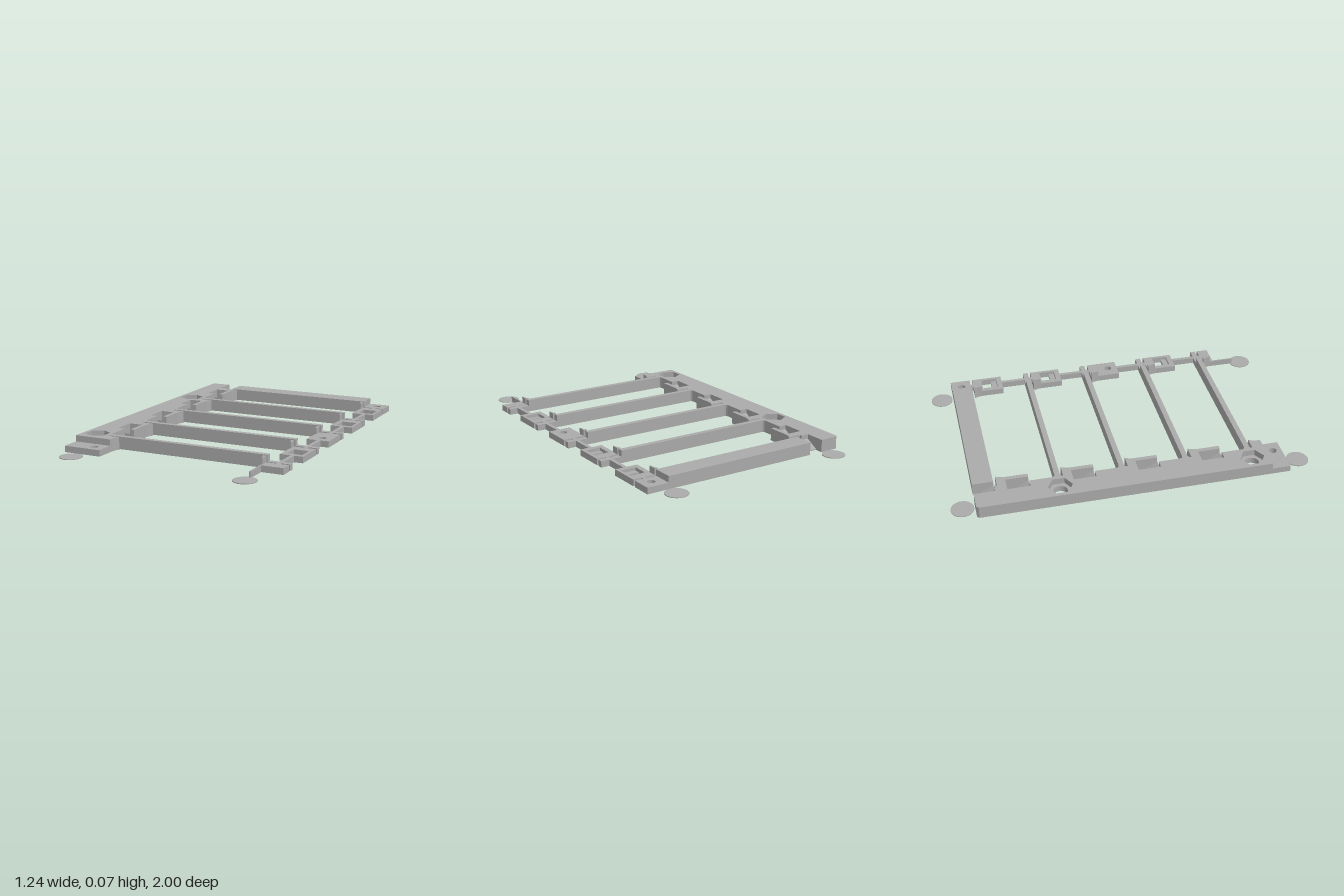
import * as THREE from 'three';

const H = 0.07, HALF = 0.035;
const PADS = [-0.74, -0.38, -0.02, 0.34];   // back edge of each pad
const BARS = [-0.41, -0.053, 0.307, 0.667]; // centre of each thin bar

export function createModel() {
  const group = new THREE.Group();
  const grey = new THREE.MeshStandardMaterial({ color: 0xaaaaaa });
  grey.name = 'grey plastic';

  const add = (name, geometry) => {
    const mesh = new THREE.Mesh(geometry, grey);
    mesh.name = name;
    group.add(mesh);
    return mesh;
  };

  // Flat plate from an [x, z] outline, between heights y0 and y1
  const plate = (name, outline, y0, y1, holes = []) => {
    const shape = new THREE.Shape(outline.map(([x, z]) => new THREE.Vector2(x, z)));
    shape.holes = holes;
    const g = new THREE.ExtrudeGeometry(shape, { depth: y1 - y0, bevelEnabled: false, curveSegments: 20 });
    g.rotateX(Math.PI / 2).translate(0, y1, 0);
    return add(name, g);
  };
  const rect = (x0, x1, z0, z1) => [[x0, z0], [x1, z0], [x1, z1], [x0, z1]];
  const ring = (x, z, r, n = 28) => {
    const pts = [];
    for (let i = 0; i < n; i++) {
      const a = Math.PI / 2 + (i / n) * Math.PI * 2;
      pts.push(new THREE.Vector2(x + r * Math.cos(a), z + r * Math.sin(a)));
    }
    return new THREE.Path(pts);
  };
  const rectHole = (...r) => new THREE.Path(rect(...r).map(([x, z]) => new THREE.Vector2(x, z)));

  // Wedge rising towards the front
  const ramp = (x0, x1, z0, z1) => {
    const s = new THREE.Shape([[-z0, 0], [-z0, 0.006], [-z1, 0.045], [-z1, 0]].map(p => new THREE.Vector2(...p)));
    const g = new THREE.ExtrudeGeometry(s, { depth: x1 - x0, bevelEnabled: false });
    g.rotateY(Math.PI / 2).translate(x0, 0, 0);
    add('clipRamp', g);
  };

  // Flared corner running down the edge of a pad
  const flare = (x, z, w) => [[x - w, z], [x - w * 0.7, z + 0.007], [x - w * 0.3, z + 0.02], [x, z + 0.045]];

  // Side rail with its clip pads
  const rail = [[-0.62, -0.858], [-0.608, -0.87], [-0.505, -0.87], [-0.505, -0.755], [-0.46, -0.755]];
  for (const z of PADS) {
    const end = z + 0.175, s = z + 0.05;
    rail.push([-0.46, z], ...flare(-0.4, z, -0.016), [-0.4, end], [-0.425, end],
      [-0.425, s], [-0.505, s], [-0.505, end], [-0.46, end]);
    ramp(-0.505, -0.425, z + 0.11, end);
  }
  rail.push([-0.46, 0.695], ...flare(-0.4, 0.695, -0.016), [-0.4, 0.76], [-0.62, 0.76]);
  const nuts = [-0.41, 0.667];
  plate('railBase', rail, 0, HALF, nuts.map(z => ring(-0.54, z, 0.039)));
  plate('railTop', rail, HALF, H, nuts.map(z => ring(-0.54, z, 0.068, 6)));
  plate('railEndTab', rect(-0.62, -0.4, 0.76, 0.865), 0, HALF, [ring(-0.467, 0.815, 0.022)]);

  // Thick back bar with its low end tab
  ramp(-0.505, -0.425, -0.825, -0.755);
  plate('backBar', rect(-0.425, 0.49, -0.87, -0.755), 0, H);
  plate('backBarTab', rect(0.49, 0.615, -0.87, -0.755), 0, HALF, [ring(0.555, -0.81, 0.022)]);

  // Thin cross bars, stepped down at the far end
  for (const z of BARS) {
    plate('crossBar', rect(-0.46, 0.49, z - 0.015, z + 0.015), 0, H);
    plate('crossBarTip', rect(0.49, 0.615, z - 0.015, z + 0.015), 0, HALF);
    for (const s of [-1, 1]) {
      const e = z + s * 0.015;
      plate('barFillet', [[-0.46, e], [-0.446, e], [-0.456, e + s * 0.004], [-0.46, e + s * 0.014]], 0, H);
    }
  }

  // Low pads on the far side
  [...PADS, 0.695].forEach((z, i) => {
    const end = i === 4 ? 0.76 : z + 0.175;
    const holes = i === 4 ? [] : i === 2 ? [ring(0.555, 0.098, 0.022)]
      : [rectHole(0.512, 0.598, z + 0.055, z + 0.145)];
    plate('lowPad', rect(0.49, 0.615, z, end), 0, HALF, holes);
    if (holes.length && i !== 2) plate('padLedge', rect(0.512, 0.598, z + 0.112, z + 0.145), 0, 0.018);
    plate('padFlare', [...flare(0.484, z, 0.014), [0.49, z + 0.045], [0.49, z]], 0, H);
    plate('padLip', rect(0.484, 0.49, z + 0.045, end), 0, HALF);
  });

  // Links joining the low pads and bar tips
  const stops = [-0.755];
  for (let i = 0; i < 4; i++) {
    stops.push(PADS[i], PADS[i] + 0.175, BARS[i] - 0.015, BARS[i] + 0.015);
  }
  stops.push(0.695);
  for (let i = 0; i < stops.length; i += 2) {
    plate('link', rect(0.545, 0.566, stops[i], stops[i + 1]), 0, HALF);
  }
  plate('footStem', rect(0.484, 0.492, 0.76, 0.885), 0, HALF);

  // Thin round feet at the corners
  for (const x of [-0.532, 0.488]) {
    for (const z of [-0.9375, 0.9375]) {
      add('footDisc', new THREE.CylinderGeometry(0.0625, 0.0625, 0.004, 32)).position.set(x, 0.002, z);
    }
  }
  return group;
}
